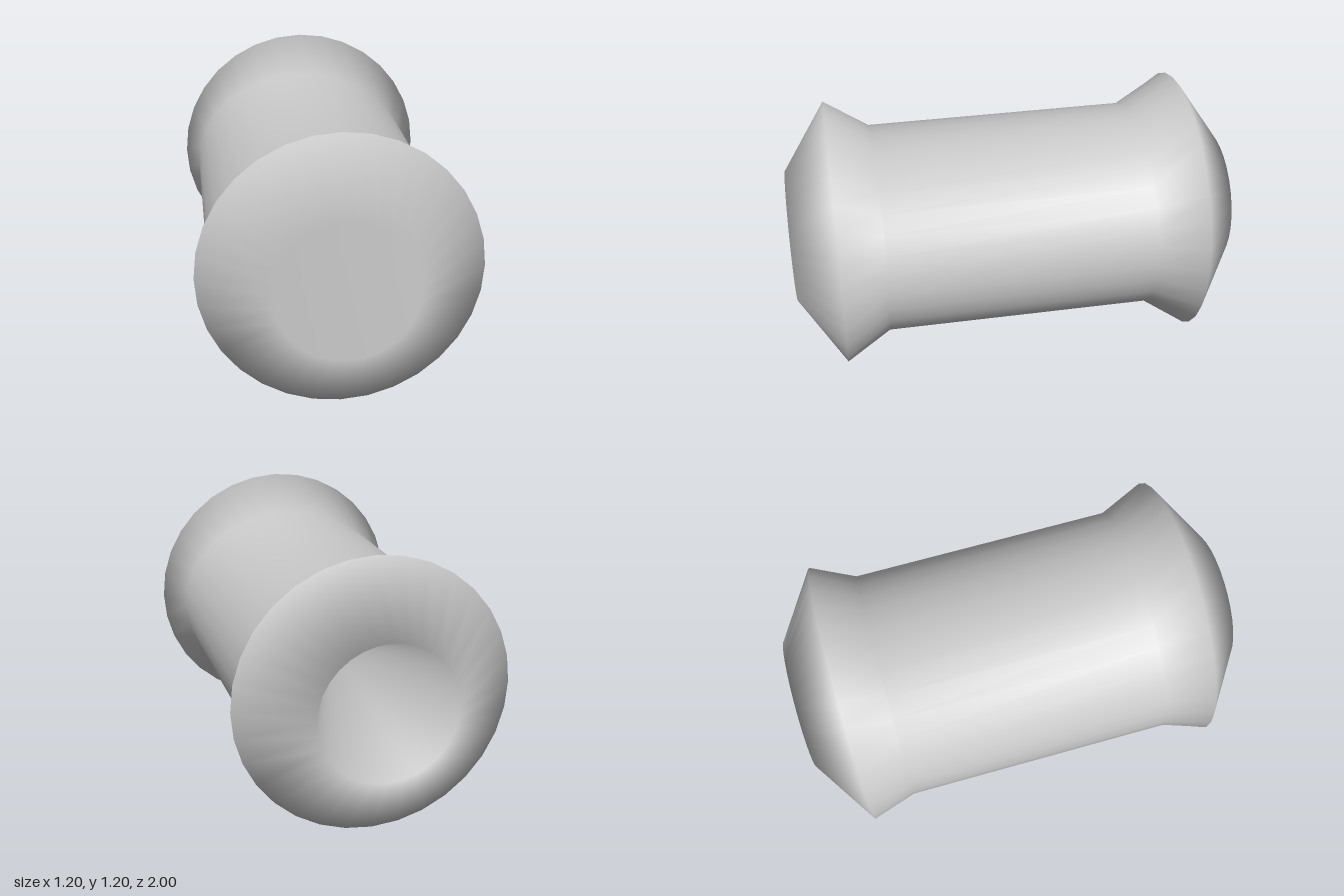
import * as THREE from 'three';
import { mergeVertices } from 'three/addons/utils/BufferGeometryUtils.js';

export function createModel() {
  const group = new THREE.Group();
  group.name = 'spool';

  // Profile as [radius, z], from the bottom of the back hollow to the bottom of the front hollow
  const profile = [
    [0, -0.2], [0.3, -1], [0.6, -0.8], [0.447, -0.6],
    [0.447, 0.6], [0.6, 0.8], [0.3, 1], [0, 0.6],
  ].map(([r, z]) => new THREE.Vector2(r, z));

  let geometry = new THREE.LatheGeometry(profile, 32);
  geometry.rotateX(Math.PI / 2);

  // The barrel between the flanges is an oval, wider than it is tall
  const pos = geometry.attributes.position;
  for (let i = 0; i < pos.count; i++) {
    const onBarrel = Math.abs(pos.getZ(i)) < 0.61 && Math.hypot(pos.getX(i), pos.getY(i)) > 0.1;
    if (onBarrel) pos.setX(i, pos.getX(i) * 1.186 - 0.01);
  }

  // Weld the seam so the shading is smooth all the way round
  geometry.deleteAttribute('uv');
  geometry.deleteAttribute('normal');
  geometry = mergeVertices(geometry, 1e-4);
  geometry.computeVertexNormals();

  const material = new THREE.MeshStandardMaterial({ color: 0xcccccc, side: THREE.DoubleSide });
  const spool = new THREE.Mesh(geometry, material);
  spool.name = 'spoolBody';
  spool.position.y = 0.6;
  group.add(spool);
  return group;
}
